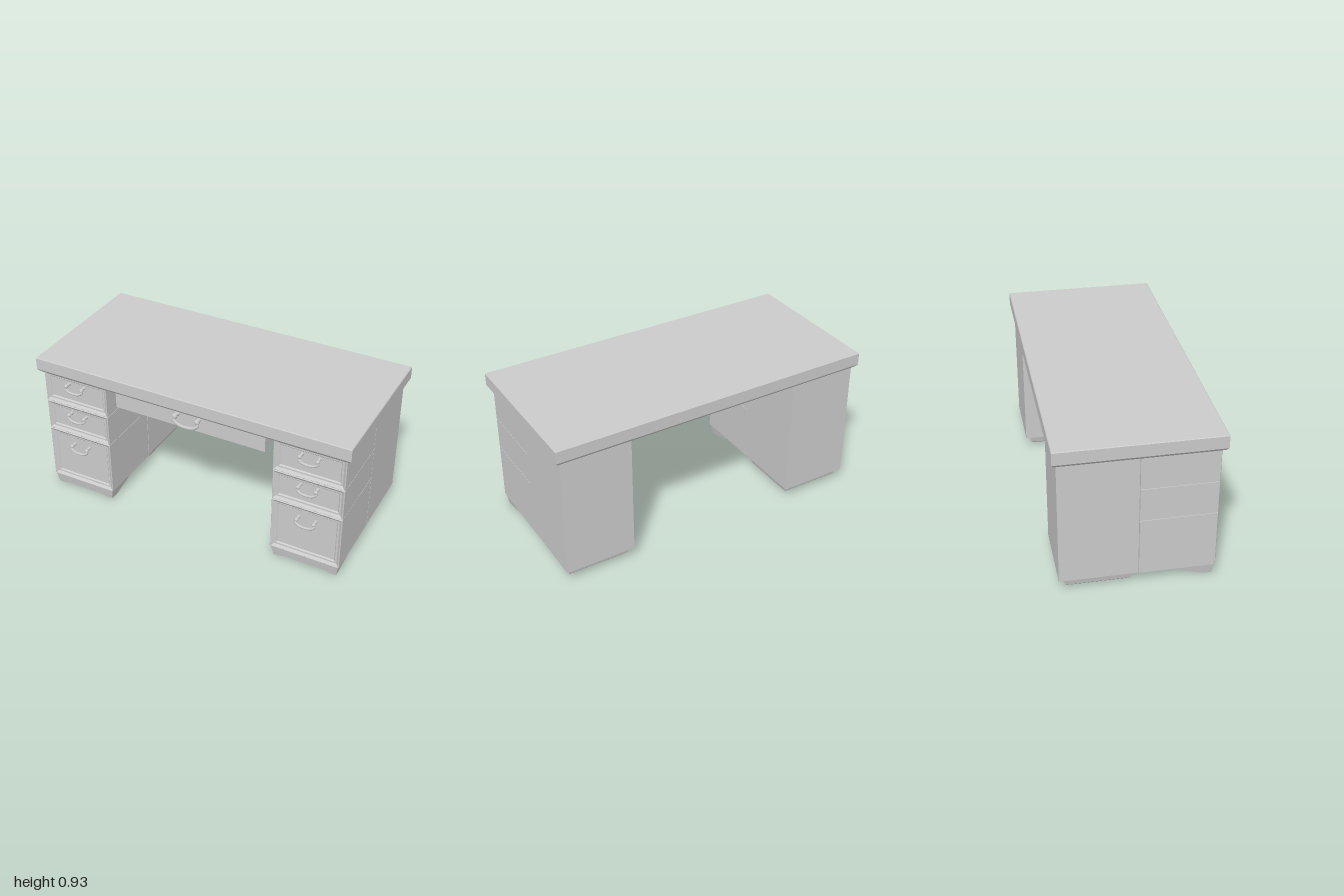
import * as THREE from 'three';

const grey = new THREE.MeshStandardMaterial({ color: 0xcccccc });
const flat = new THREE.MeshStandardMaterial({ color: 0xcccccc, flatShading: true });

function add(parent, name, geometry, material = flat) {
  const mesh = new THREE.Mesh(geometry, material);
  mesh.name = name;
  parent.add(mesh);
  return mesh;
}

// Solid made of stacked rectangles: rings are [inset, z], from back to front
function ringSolid(w, h, rings) {
  const pos = [], index = [];
  for (const [inset, z] of rings) {
    const x = w / 2 - inset, y = h / 2 - inset;
    pos.push(-x, -y, z, x, -y, z, x, y, z, -x, y, z);
  }
  for (let r = 0; r < rings.length - 1; r++) {
    for (let i = 0; i < 4; i++) {
      const a = r * 4 + i, b = r * 4 + (i + 1) % 4;
      index.push(a, b, b + 4, a, b + 4, a + 4);
    }
  }
  const n = (rings.length - 1) * 4;
  index.push(0, 2, 1, 0, 3, 2, n, n + 1, n + 2, n, n + 2, n + 3);
  const g = new THREE.BufferGeometry();
  g.setAttribute('position', new THREE.Float32BufferAttribute(pos, 3));
  g.setIndex(index);
  const out = g.toNonIndexed();
  out.computeVertexNormals();
  return out;
}

// The same solid standing up: the ring offset becomes height
const slab = (w, d, rings) => ringSolid(w, d, rings).rotateX(-Math.PI / 2);

// Drooping bail pull with knobs on short posts
function makeHandle() {
  const handle = new THREE.Group();
  handle.name = 'handle';
  const path = new THREE.CatmullRomCurve3([
    [-0.055, 0.018, 0.03], [-0.056, 0.002, 0.036], [-0.036, -0.013, 0.039], [0, -0.018, 0.04],
    [0.036, -0.013, 0.039], [0.056, 0.002, 0.036], [0.055, 0.018, 0.03],
  ].map(p => new THREE.Vector3(...p)));
  add(handle, 'bail', new THREE.TubeGeometry(path, 28, 0.008, 8), grey);
  for (const s of [-1, 1]) {
    const post = add(handle, 'post', new THREE.CylinderGeometry(0.008, 0.011, 0.034, 10).rotateX(Math.PI / 2), grey);
    post.position.set(s * 0.052, 0.018, 0.015);
    const knob = add(handle, 'knob', new THREE.SphereGeometry(0.012, 12, 8), grey);
    knob.position.set(s * 0.053, 0.017, 0.032);
  }
  return handle;
}

// Hollow bracket foot: arched front board and two swept side wings
function makeBracketFoot() {
  const foot = new THREE.Group();
  foot.name = 'bracketFoot';
  const top = 0.07, half = 0.21, front = 0.437;
  const taper = g => {
    const p = g.attributes.position;
    for (let i = 0; i < p.count; i++) {
      const drop = 1 - p.getY(i) / top;
      p.setX(i, p.getX(i) * (1 - 0.06 * drop));
      p.setZ(i, p.getZ(i) - 0.012 * drop);
    }
    g.computeVertexNormals();
    return g;
  };
  const board = new THREE.Shape([
    [-half, 0], [-0.16, 0], [-0.14, 0.01], [0.14, 0.01], [0.16, 0], [half, 0], [half, top], [-half, top],
  ].map(p => new THREE.Vector2(...p)));
  add(foot, 'frontBoard', taper(new THREE.ExtrudeGeometry(board, { depth: 0.035, bevelEnabled: false })
    .translate(0, 0, front - 0.035)));
  const wing = new THREE.Shape([
    [-front, 0], [-0.39, 0], [-0.25, 0.045], [-0.22, top], [-front, top],
  ].map(p => new THREE.Vector2(...p)));
  for (const x of [-half, half - 0.035]) {
    add(foot, 'sideWing', taper(new THREE.ExtrudeGeometry(wing, { depth: 0.035, bevelEnabled: false })
      .rotateY(Math.PI / 2).translate(x, 0, 0)));
  }
  return foot;
}

function makePedestal() {
  const pedestal = new THREE.Group();
  pedestal.name = 'pedestal';
  const width = 0.43;

  // Rear cabinet and its plinth
  const cabinet = add(pedestal, 'rearCabinet', new THREE.BoxGeometry(width, 0.758, 0.442));
  cabinet.position.set(0, 0.451, -0.22);
  const plinth = add(pedestal, 'rearPlinth', slab(0.4, 0.39,
    [[0.022, 0.013], [0.012, 0.023], [0, 0.073]]));
  plinth.position.z = -0.22;

  // Core seen only through the drawer gaps
  const core = add(pedestal, 'drawerCore', new THREE.BoxGeometry(width - 0.012, 0.75, 0.4));
  core.position.set(0, 0.455, 0.205);

  // Three drawers with dished rims and sunk panels
  for (const [bottom, top, handleY] of [[0.068, 0.419, 0.32], [0.422, 0.622, 0.55], [0.625, 0.829, 0.757]]) {
    const drawer = new THREE.Group();
    drawer.name = 'drawer';
    const y = (bottom + top) / 2;
    drawer.position.y = y;
    add(drawer, 'drawerBox', ringSolid(width, top - bottom, [
      [0, 0.005], [0, 0.436], [0.003, 0.439], [0.006, 0.438],
      [0.02, 0.427], [0.03, 0.427], [0.037, 0.42],
    ]));
    const handle = makeHandle();
    handle.position.set(0, handleY - y, 0.42);
    drawer.add(handle);
    pedestal.add(drawer);
  }
  pedestal.add(makeBracketFoot());
  return pedestal;
}

export function createModel() {
  const desk = new THREE.Group();
  desk.name = 'desk';

  // Thick top, chamfered underneath
  add(desk, 'deskTop', slab(2, 0.932,
    [[0.016, 0.829], [0.004, 0.842], [0, 0.848], [0, 0.921], [0.004, 0.926]]));

  // Matching pedestals
  for (const side of [-1, 1]) {
    const pedestal = makePedestal();
    pedestal.name = side > 0 ? 'leftPedestal' : 'rightPedestal';
    pedestal.position.x = side * 0.755;
    desk.add(pedestal);
  }

  // Shallow centre drawer under the top
  const centre = new THREE.Group();
  centre.name = 'centreDrawer';
  const box = add(centre, 'centreDrawerBox', new THREE.BoxGeometry(0.964, 0.12, 0.59));
  box.position.set(0, 0.77, 0.125);
  const pull = makeHandle();
  pull.scale.set(1.35, 1.45, 1);
  pull.position.set(0, 0.768, 0.418);
  centre.add(pull);
  desk.add(centre);

  return desk;
}
